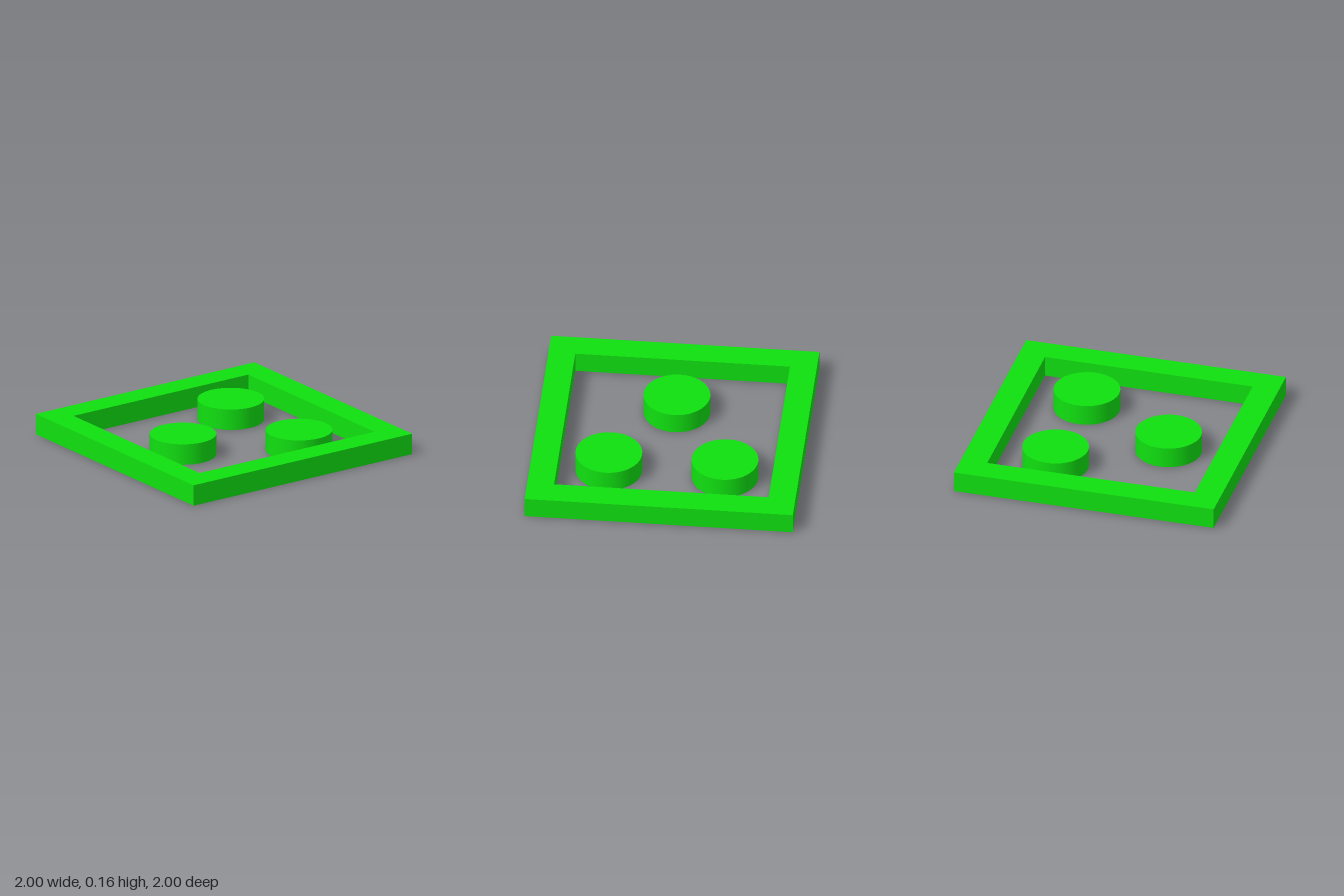
import * as THREE from 'three';

const HEIGHT = 0.16;

export function createModel() {
  const model = new THREE.Group();
  const green = new THREE.MeshStandardMaterial({ color: 0x10e010 });

  // Square frame: outer square with a square opening, extruded upward
  const square = (Type, h) => new Type([[-h, -h], [h, -h], [h, h], [-h, h]].map(([x, y]) => new THREE.Vector2(x, y)));
  const outline = square(THREE.Shape, 1);
  outline.holes.push(square(THREE.Path, 0.8));
  const frameGeometry = new THREE.ExtrudeGeometry(outline, { depth: HEIGHT, bevelEnabled: false });
  frameGeometry.rotateX(-Math.PI / 2);
  const frame = new THREE.Mesh(frameGeometry, green);
  frame.name = 'squareFrame';
  model.add(frame);

  // Three round discs in a triangle, level with the frame
  const discGeometry = new THREE.CylinderGeometry(0.248, 0.248, HEIGHT, 40);
  const discs = { frontDisc: [0, 0.375], backLeftDisc: [0.433, -0.375], backRightDisc: [-0.433, -0.375] };
  for (const [name, [x, z]] of Object.entries(discs)) {
    const disc = new THREE.Mesh(discGeometry, green);
    disc.name = name;
    disc.position.set(x, HEIGHT / 2, z);
    model.add(disc);
  }

  return model;
}
